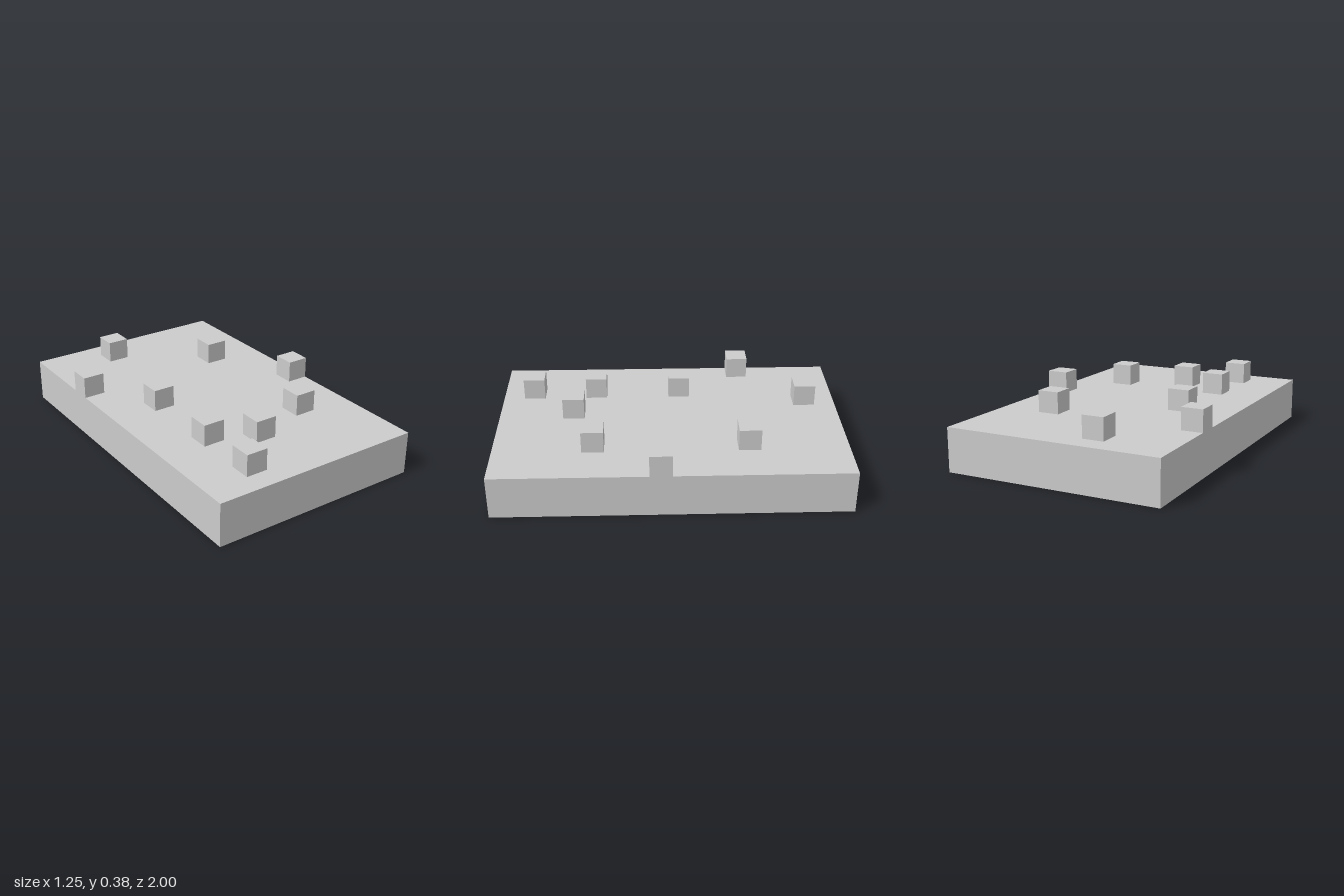
import * as THREE from 'three';

const UNIT = 0.125; // edge of one small cube
const BASE_HEIGHT = 2 * UNIT;

export function createModel() {
  const model = new THREE.Group();
  const material = new THREE.MeshStandardMaterial({ color: 0xcccccc, flatShading: true });

  // Flat slab, 10 x 2 x 16 units
  const slab = new THREE.Mesh(new THREE.BoxGeometry(10 * UNIT, BASE_HEIGHT, 16 * UNIT), material);
  slab.name = 'slab';
  slab.position.y = BASE_HEIGHT / 2;
  model.add(slab);

  // Small cubes scattered on top: grid cells as [x, z], counted from the centre
  const cells = [
    [-2, -7], [-5, -4], [2, -4], [-3, -1], [4, 0],
    [-3, 3], [2, 3], [-1, 4], [-3, 6],
  ];
  const cubes = new THREE.Group();
  cubes.name = 'cubes';
  const cubeGeometry = new THREE.BoxGeometry(UNIT, UNIT, UNIT);
  cells.forEach(([x, z], i) => {
    const cube = new THREE.Mesh(cubeGeometry, material);
    cube.name = `cube${i + 1}`;
    cube.position.set((x + 0.5) * UNIT, BASE_HEIGHT + UNIT / 2, (z + 0.5) * UNIT);
    cubes.add(cube);
  });
  model.add(cubes);

  return model;
}
